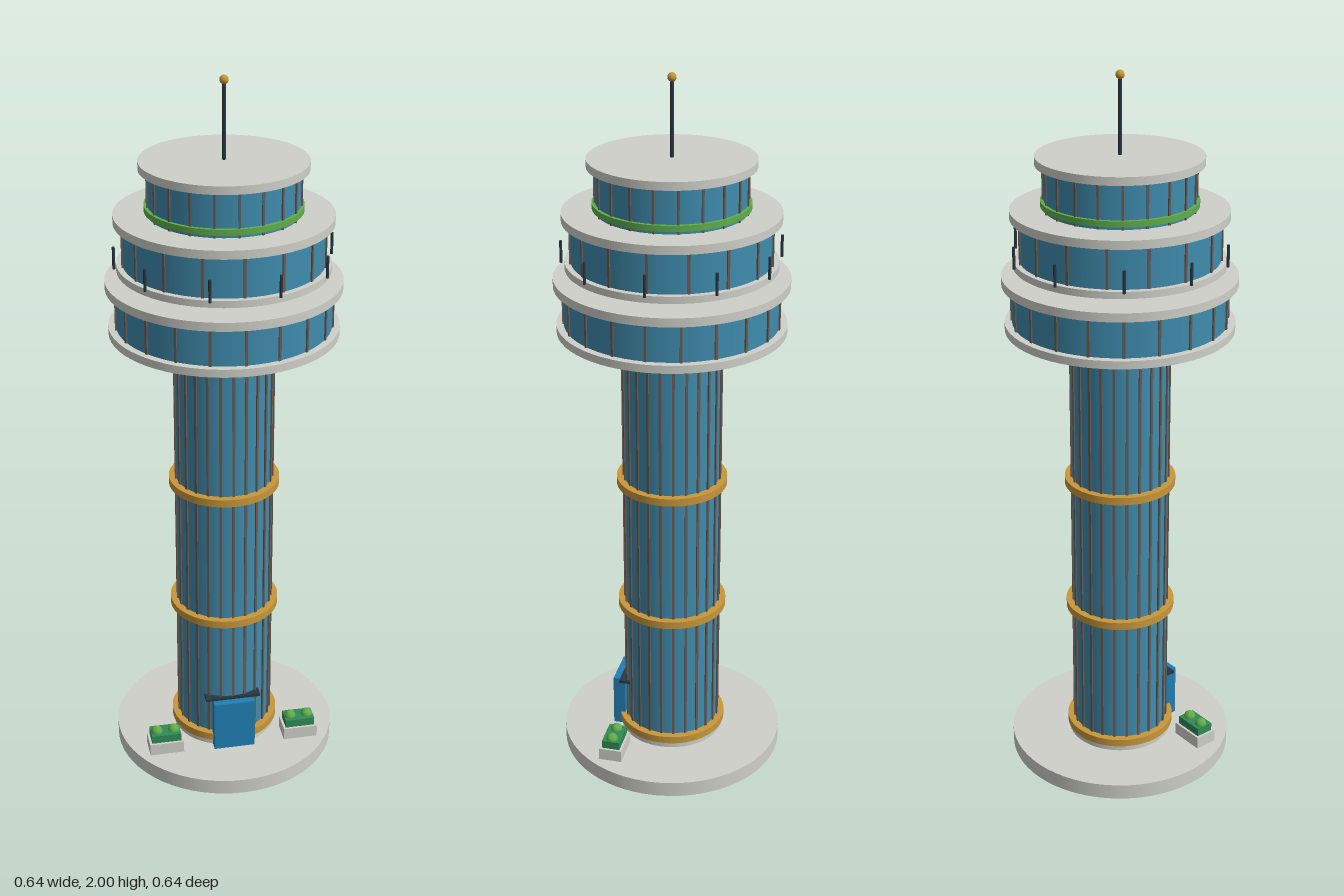
import * as THREE from 'three';

const mat = (color) => new THREE.MeshStandardMaterial({ color });
const stone = mat(0xcfd0c8), glass = mat(0x3f8cae), frame = mat(0x6b5a52), gold = mat(0xc8973a);
const dark = mat(0x2b3640), leaf = mat(0x2e8b57), bush = mat(0x5fae4a), doorBlue = mat(0x1f7fb5);

export function createModel() {
  const model = new THREE.Group();

  const add = (name, geometry, material, x = 0, y = 0, z = 0, parent = model) => {
    const mesh = new THREE.Mesh(geometry, material);
    mesh.name = name;
    mesh.position.set(x, y, z);
    parent.add(mesh);
    return mesh;
  };
  // Upright cylinder from y0 to y1
  const drum = (name, r, y0, y1, material, sides = 64) =>
    add(name, new THREE.CylinderGeometry(r, r, y1 - y0, sides), material, 0, (y0 + y1) / 2, 0);
  // Band with a square section around the axis
  const band = (name, inner, outer, y0, y1, material) => {
    const points = [[inner, y0], [outer, y0], [outer, y0], [outer, y1], [outer, y1], [inner, y1]];
    return add(name, new THREE.LatheGeometry(points.map((p) => new THREE.Vector2(...p)), 64), material);
  };
  // Vertical bars spaced evenly round a circle
  const mullions = (name, count, r, y0, y1, width) => {
    const group = new THREE.Group();
    group.name = name;
    const geometry = new THREE.BoxGeometry(width, y1 - y0, 0.008);
    for (let i = 0; i < count; i++) {
      const a = (i / count) * Math.PI * 2;
      add('mullion', geometry, frame, Math.sin(a) * r, (y0 + y1) / 2, Math.cos(a) * r, group).rotation.y = a;
    }
    model.add(group);
  };

  // Base and shaft
  drum('basePlate', 0.32, 0, 0.045, stone);
  drum('shaftPlinth', 0.15, 0.045, 0.062, stone);
  drum('shaft', 0.135, 0.06, 1.29, glass);
  mullions('shaftMullions', 24, 0.135, 0.06, 1.29, 0.007);
  for (const y of [0.073, 0.467, 0.86, 1.267]) band('goldBand', 0.13, 0.155, y - 0.011, y + 0.011, gold);

  // Lower cabin
  drum('lowerCabinFloor', 0.31, 1.31, 1.332, stone);
  drum('lowerCabinGlass', 0.29, 1.332, 1.438, glass);
  mullions('lowerCabinMullions', 20, 0.29, 1.332, 1.438, 0.007);
  drum('lowerCabinRoof', 0.316, 1.438, 1.462, stone);

  // Middle cabin with railing posts
  drum('middleCabinFloor', 0.284, 1.488, 1.507, stone);
  drum('middleCabinGlass', 0.268, 1.507, 1.618, glass);
  mullions('middleCabinMullions', 16, 0.268, 1.507, 1.618, 0.007);
  drum('middleCabinRoof', 0.29, 1.618, 1.641, stone);
  const post = new THREE.CylinderGeometry(0.004, 0.004, 0.06, 8);
  for (let i = 0; i < 10; i++) {
    const a = (i / 10) * Math.PI * 2;
    add('railingPost', post, dark, Math.cos(a) * 0.292, 1.535, Math.sin(a) * 0.292);
  }

  // Upper cabin with planted ring
  drum('upperCabinGlass', 0.2, 1.641, 1.762, glass);
  mullions('upperCabinMullions', 20, 0.2, 1.641, 1.762, 0.006);
  band('greenRing', 0.195, 0.209, 1.65, 1.666, bush);
  drum('upperCabinRoof', 0.222, 1.76, 1.782, stone);

  // Antenna
  drum('antennaMast', 0.005, 1.78, 1.985, dark, 12);
  add('antennaTip', new THREE.SphereGeometry(0.012, 16, 12), gold, 0, 1.988, 0);

  // Entrance
  add('door', new THREE.BoxGeometry(0.12, 0.155, 0.035), doorBlue, 0, 0.1225, 0.147);
  add('doorCanopy', new THREE.BoxGeometry(0.16, 0.008, 0.04), dark, 0, 0.204, 0.122);

  // Planters either side of the door
  for (const side of [-1, 1]) {
    const planter = new THREE.Group();
    planter.name = side > 0 ? 'leftPlanter' : 'rightPlanter';
    planter.position.set(side * 0.2, 0.045, 0.125);
    add('planterBox', new THREE.BoxGeometry(0.1, 0.036, 0.066), stone, 0, 0.018, 0, planter);
    add('hedge', new THREE.BoxGeometry(0.086, 0.024, 0.052), leaf, 0, 0.048, 0, planter);
    for (const x of [-0.025, 0.025])
      add('shrub', new THREE.SphereGeometry(0.017, 12, 8), bush, x, 0.06, 0, planter);
    model.add(planter);
  }
  return model;
}
